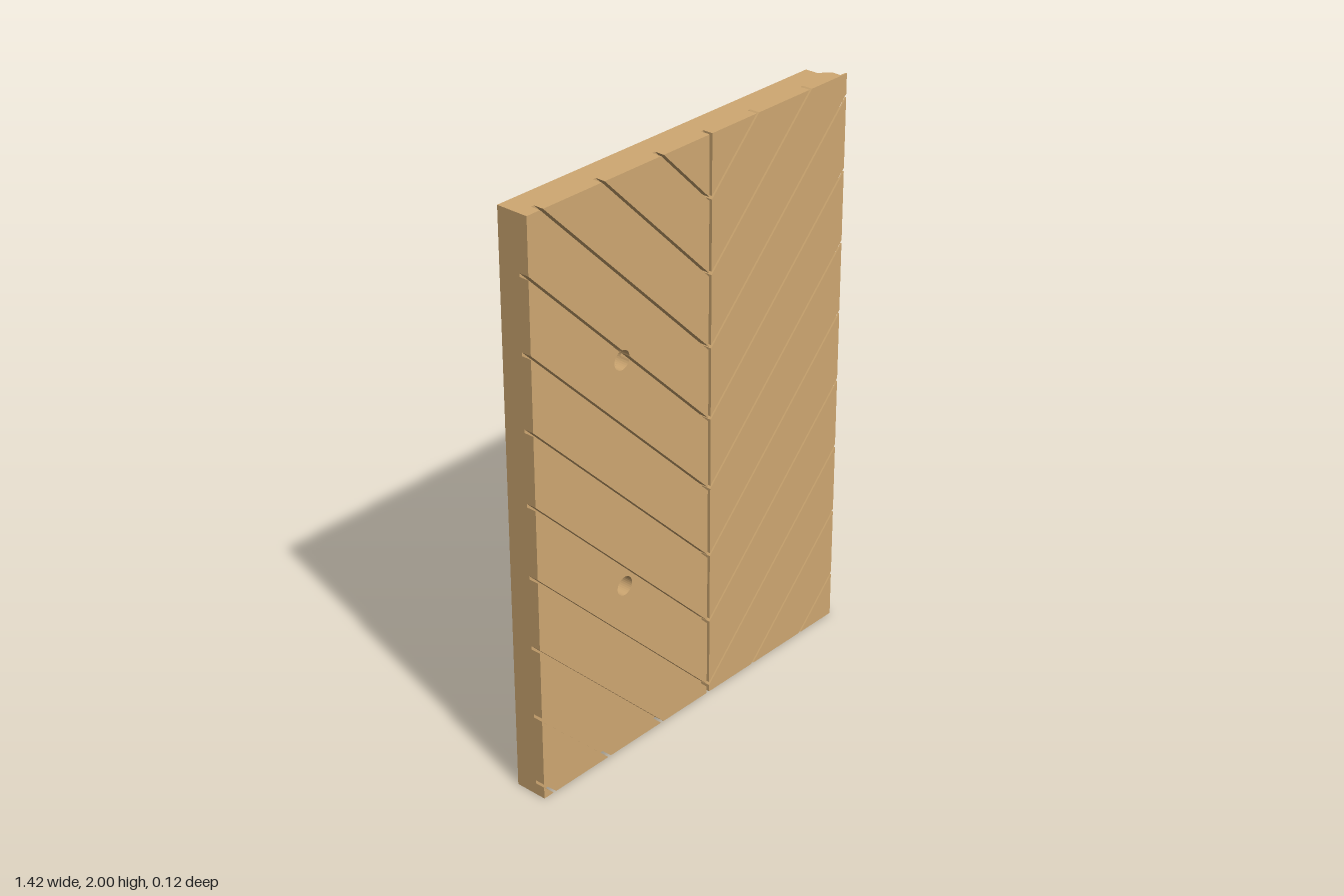
import * as THREE from 'three';

const wood = new THREE.MeshStandardMaterial({ color: 0xcfa872 });
wood.name = 'warm wood';

const V = (x, y) => new THREE.Vector2(x, y);
const LEFT = -0.71, RIGHT = 0.65, TIP = 0.71, BACK = -0.0575, FRONT = 0.0575;
const POCKET_FLOOR = -0.015, SHEET = 0.015, GROOVE_FLOOR = 0.022, SKIN = 0.052;
const SPINE = 0.067, PITCH = 0.2515, FIRST = 0.025;
const BOLTS = [V(-0.33, 1.4), V(-0.33, 0.607)], BOLT_R = 0.033;

const rect = (x0, y0, x1, y1) => [V(x0, y0), V(x1, y0), V(x1, y1), V(x0, y1)];
const box = (cx, cy, w, h) => rect(cx - w / 2, cy - h / 2, cx + w / 2, cy + h / 2);
const circle = (c, r) => Array.from({ length: 32 }, (_, i) => {
  const a = i / 32 * Math.PI * 2;
  return V(c.x + r * Math.cos(a), c.y + r * Math.sin(a));
});

// Rectangle with its four corners cut off, counter-clockwise
const octagon = (x0, y0, x1, y1, c) => [
  V(x0 + c, y0), V(x1 - c, y0), V(x1, y0 + c), V(x1, y1 - c),
  V(x1 - c, y1), V(x0 + c, y1), V(x0, y1 - c), V(x0, y0 + c)];

// Flat slab between two depths, with holes
function slab(name, outline, z0, z1, holes = []) {
  const shape = new THREE.Shape(outline);
  shape.holes = holes.map(h => new THREE.Path(h));
  const geo = new THREE.ExtrudeGeometry(shape, { depth: z1 - z0, bevelEnabled: false });
  geo.translate(0, 0, z0);
  const mesh = new THREE.Mesh(geo, wood);
  mesh.name = name;
  return mesh;
}

// Keep the part of a convex polygon where a*x + b*y <= c
function clip(poly, a, b, c) {
  const out = [];
  poly.forEach((p, i) => {
    const q = poly[(i + 1) % poly.length];
    const dp = a * p.x + b * p.y - c, dq = a * q.x + b * q.y - c;
    if (dp <= 0) out.push(p);
    if (dp * dq < 0) out.push(p.clone().lerp(q, dp / (dp - dq)));
  });
  return out;
}

// Cut an arc out of every edge that crosses the circle
function bite(poly, o, r) {
  const out = [];
  let crossed = false;
  poly.forEach((p, i) => {
    const d = poly[(i + 1) % poly.length].clone().sub(p), f = p.clone().sub(o);
    const A = d.lengthSq(), B = f.dot(d), D = B * B - A * (f.lengthSq() - r * r);
    out.push(p);
    if (D <= 0) return;
    const t0 = (-B - Math.sqrt(D)) / A, t1 = (-B + Math.sqrt(D)) / A;
    if (t0 <= 0 || t1 >= 1) return;
    crossed = true;
    const angle = t => Math.atan2(f.y + d.y * t, f.x + d.x * t);
    const a0 = angle(t0);
    let a1 = angle(t1);
    if (a1 > a0) a1 -= Math.PI * 2;
    for (let k = 0; k <= 20; k++) {
      const a = a0 + (a1 - a0) * k / 20;
      out.push(V(o.x + r * Math.cos(a), o.y + r * Math.sin(a)));
    }
  });
  return { poly: out, crossed };
}

const inside = (poly, o) => poly.every((p, i) => {
  const q = poly[(i + 1) % poly.length];
  return (q.x - p.x) * (o.y - p.y) - (q.y - p.y) * (o.x - p.x) > 0;
});

// Diagonal planks on both sides of the spine groove
function planks(name, z0, z1, right) {
  const group = new THREE.Group();
  group.name = name;
  for (const side of [-1, 1]) {
    const field = side < 0 ? rect(LEFT, 0, SPINE - 0.006, 2) : rect(SPINE + 0.006, 0, right, 2);
    for (let k = -4; k < 9; k++) {
      const low = FIRST + PITCH * k + 0.006, high = low + PITCH - 0.012;
      // height along the plank direction is y - side * (x - SPINE)
      let poly = clip(field, -side, 1, high - side * SPINE);
      poly = clip(poly, side, -1, -low + side * SPINE);
      if (poly.length < 3) continue;
      const holes = [];
      for (const o of BOLTS) {
        const within = inside(poly, o);
        const cut = bite(poly, o, BOLT_R);
        if (cut.crossed) poly = cut.poly;
        else if (within) holes.push(circle(o, BOLT_R));
      }
      group.add(slab('plank', poly, z0, z1, holes));
    }
  }
  return group;
}

export function createModel() {
  const model = new THREE.Group();
  model.name = 'chevronPanel';
  const bolts = BOLTS.map(o => circle(o, BOLT_R));
  const outer = octagon(-0.17, 0.035, 0.37, 1.965, 0.14);
  const inner = octagon(-0.105, 0.1, 0.305, 1.9, 0.1);

  // Back layer: clip pockets open on the right edge, slots and counterbores
  const outline = [V(LEFT, 0), V(RIGHT, 0)];
  const pocketYs = Array.from({ length: 7 }, (_, i) => 0.25 + i * PITCH);
  for (const y of pocketYs) {
    outline.push(V(RIGHT, y - 0.07), V(0.51, y - 0.07), V(0.49, y - 0.05),
      V(0.49, y + 0.05), V(0.51, y + 0.07), V(RIGHT, y + 0.07));
  }
  outline.push(V(RIGHT, 2), V(LEFT, 2));
  const backHoles = [outer, ...BOLTS.map(o => circle(o, 0.053))];
  for (let i = 0; i < 4; i++) {
    const y = 0.235 + i * 0.505;
    backHoles.push(box(-0.495, y, 0.05, 0.1), box(-0.495, y - 0.123, 0.03, 0.008));
  }
  const tallSlots = [0.49, 1.49];
  tallSlots.forEach(y => backHoles.push(box(-0.435, y, 0.045, 0.14)));
  model.add(slab('backLayer', outline, BACK, POCKET_FLOOR, backHoles));

  // Ribs in the clip pockets and bridges in the tall slots
  for (const y of pocketYs) {
    model.add(slab('pocketRib', rect(0.49, y - 0.015, RIGHT, y + 0.025), -0.045, POCKET_FLOOR));
    model.add(slab('pocketLedge', rect(0.5, y - 0.07, RIGHT, y - 0.045), -0.03, POCKET_FLOOR));
  }
  tallSlots.forEach(y =>
    model.add(slab('slotBridge', box(-0.435, y - 0.01, 0.045, 0.05), -0.045, POCKET_FLOOR)));

  // Core and the sheet that closes the recess
  model.add(slab('core', rect(LEFT, 0, RIGHT, 2), POCKET_FLOOR, SHEET, [outer, ...bolts]));
  model.add(slab('recessFloor', rect(LEFT, 0, RIGHT, 2), SHEET, GROOVE_FLOOR, bolts));

  // Sloping walls of the recess
  const pos = [];
  outer.forEach((o, i) => {
    const j = (i + 1) % outer.length, p = outer[j], n = inner[i], m = inner[j];
    const a = [o.x, o.y, BACK], b = [n.x, n.y, SHEET], c = [m.x, m.y, SHEET], d = [p.x, p.y, BACK];
    pos.push(...a, ...b, ...c, ...a, ...c, ...d);
  });
  const wallGeo = new THREE.BufferGeometry();
  wallGeo.setAttribute('position', new THREE.Float32BufferAttribute(pos, 3));
  wallGeo.computeVertexNormals();
  const walls = new THREE.Mesh(wallGeo, wood);
  walls.name = 'recessWalls';
  model.add(walls);

  // Slanted right edge, extruded upward
  const edge = slab('slantedEdge',
    [V(RIGHT, -POCKET_FLOOR), V(RIGHT, -GROOVE_FLOOR), V(0.685, -GROOVE_FLOOR)], 0, 2);
  edge.rotation.x = -Math.PI / 2;
  model.add(edge);

  // Planks and their thin overhanging face
  model.add(planks('plankBodies', GROOVE_FLOOR, SKIN, 0.685));
  model.add(planks('plankFaces', SKIN, FRONT, TIP));
  return model;
}
